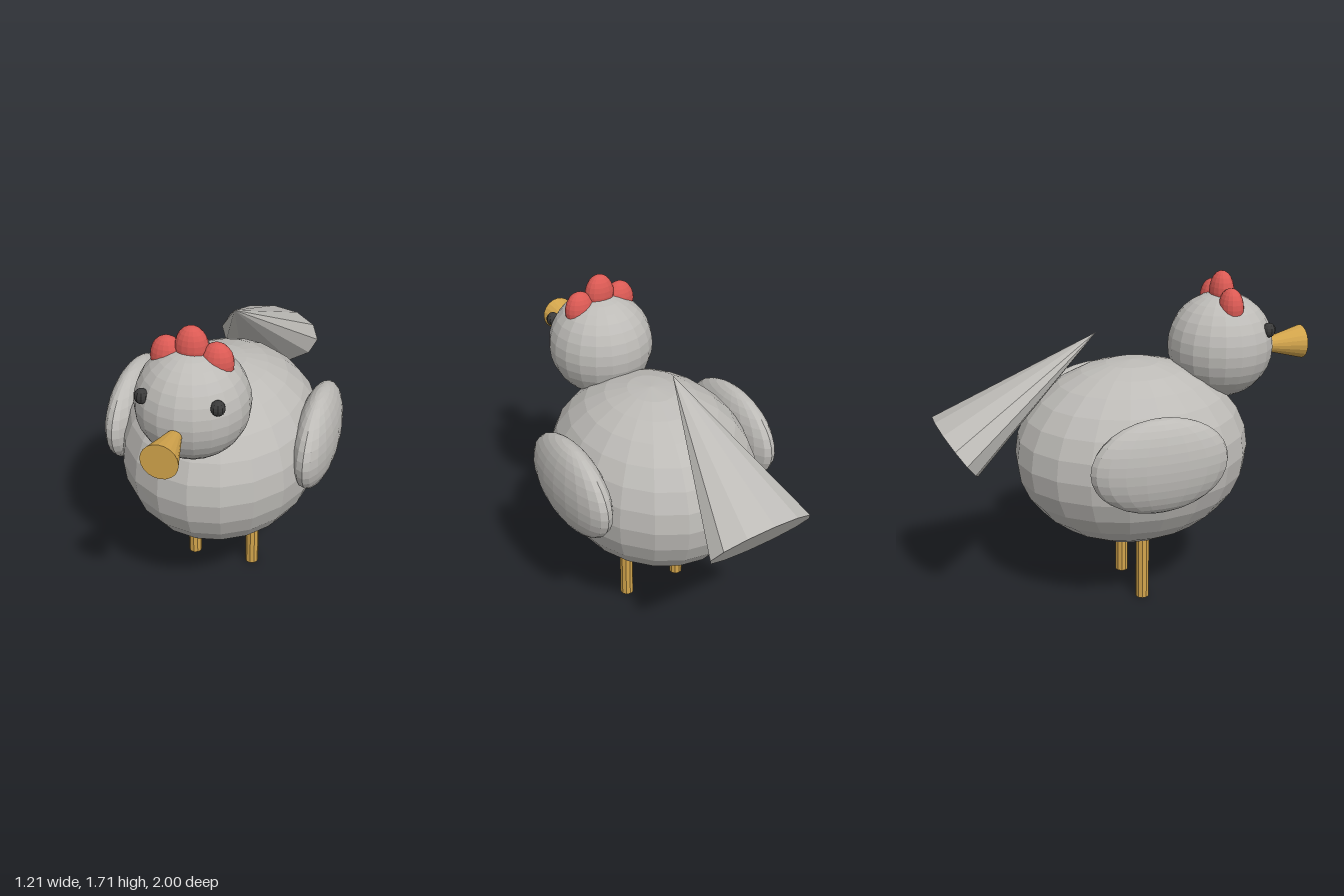
import * as THREE from 'three';

const flat = (name, color) => {
  const m = new THREE.MeshStandardMaterial({ color, flatShading: true });
  m.name = name;
  return m;
};

export function createModel() {
  const grey = flat('plumageGrey', 0xbdbbb7);
  const red = flat('combRed', 0xdb5a54);
  const gold = flat('beakGold', 0xd3a54c);
  const black = flat('eyeBlack', 0x3a3a3a);

  const model = new THREE.Group();
  model.name = 'chicken';

  const add = (name, geometry, material, position) => {
    const mesh = new THREE.Mesh(geometry, material);
    mesh.name = name;
    mesh.position.set(...position);
    model.add(mesh);
    return mesh;
  };
  const ellipsoid = (name, material, position, radii, w = 20, h = 14) =>
    add(name, new THREE.SphereGeometry(1, w, h).scale(...radii), material, position);

  // Body and head
  ellipsoid('body', grey, [0, 0.795, 0.033], [0.52, 0.49, 0.622]);
  ellipsoid('head', grey, [0, 1.318, 0.525], [0.277, 0.277, 0.277], 20, 16);

  // Beak: a cone with its wide end forward
  add('beak', new THREE.ConeGeometry(0.09, 0.34, 20).rotateX(-Math.PI / 2), gold, [0, 1.285, 0.83]);

  // Comb
  ellipsoid('combMiddle', red, [0, 1.6, 0.525], [0.08, 0.107, 0.062], 16, 12);

  // Mirrored parts
  for (const [side, s] of [['left', 1], ['right', -1]]) {
    ellipsoid(side + 'Comb', red, [s * 0.12, 1.54, 0.525], [0.08, 0.1, 0.062], 16, 12);
    ellipsoid(side + 'Eye', black, [s * 0.18, 1.42, 0.715], [0.035, 0.038, 0.035], 10, 8);
    ellipsoid(side + 'Wing', grey, [s * 0.497, 0.89, 0], [0.108, 0.245, 0.358], 20, 16);
    add(side + 'Leg', new THREE.CylinderGeometry(0.036, 0.036, 0.42, 10), gold, [s * 0.165, 0.21, 0.033]);
  }

  // Tail: a flattened cone from a raised tip down to a wide rear end
  const tip = new THREE.Vector3(0, 1.445, -0.16);
  const base = new THREE.Vector3(0, 0.928, -0.905);
  const axis = tip.clone().sub(base);
  const tail = add(
    'tail',
    new THREE.ConeGeometry(1, axis.length(), 12).scale(0.29, 1, 0.163),
    grey,
    tip.clone().add(base).multiplyScalar(0.5).toArray()
  );
  tail.rotation.x = Math.atan2(axis.z, axis.y);

  return model;
}
